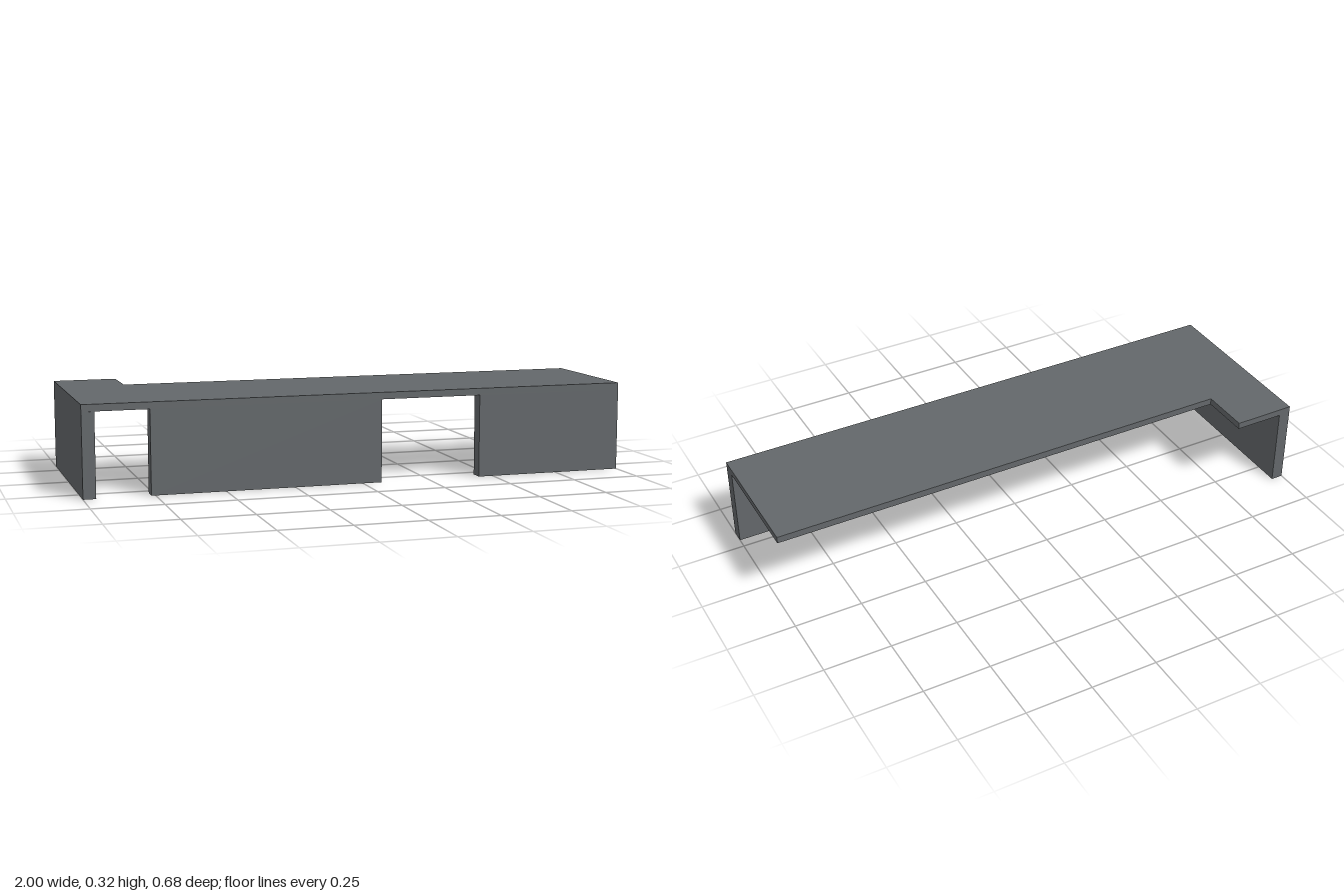
import * as THREE from 'three';

export function createModel() {
  const model = new THREE.Group();
  model.name = 'counter';
  const grey = new THREE.MeshStandardMaterial({ color: 0x63676a });
  grey.name = 'slate grey';

  const add = (name, geometry) => {
    const mesh = new THREE.Mesh(geometry, grey);
    mesh.name = name;
    model.add(mesh);
    return mesh;
  };

  // Upright board spanning the given x and z ranges, from the floor to the top
  const height = 0.3;
  const board = (name, x0, x1, z0, z1) =>
    add(name, new THREE.BoxGeometry(x1 - x0, height, z1 - z0))
      .position.set((x0 + x1) / 2, height / 2, (z0 + z1) / 2);

  // L-shaped counter top, drawn in plan with shape y = -z
  const plan = new THREE.Shape([
    [-1, -0.338], [1, -0.338], [1, 0.153], [-0.768, 0.153], [-0.768, 0.34], [-1, 0.34],
  ].map(([x, y]) => new THREE.Vector2(x, y)));
  const top = new THREE.ExtrudeGeometry(plan, { depth: 0.025, bevelEnabled: false });
  top.rotateX(-Math.PI / 2);
  add('counterTop', top).position.y = height;

  // End wall and the two front panels
  board('endWall', -1, -0.955, -0.34, 0.34);
  board('middleFrontPanel', -0.765, 0.07, 0.289, 0.338);
  board('leftFrontPanel', 0.445, 1, 0.289, 0.338);

  return model;
}
